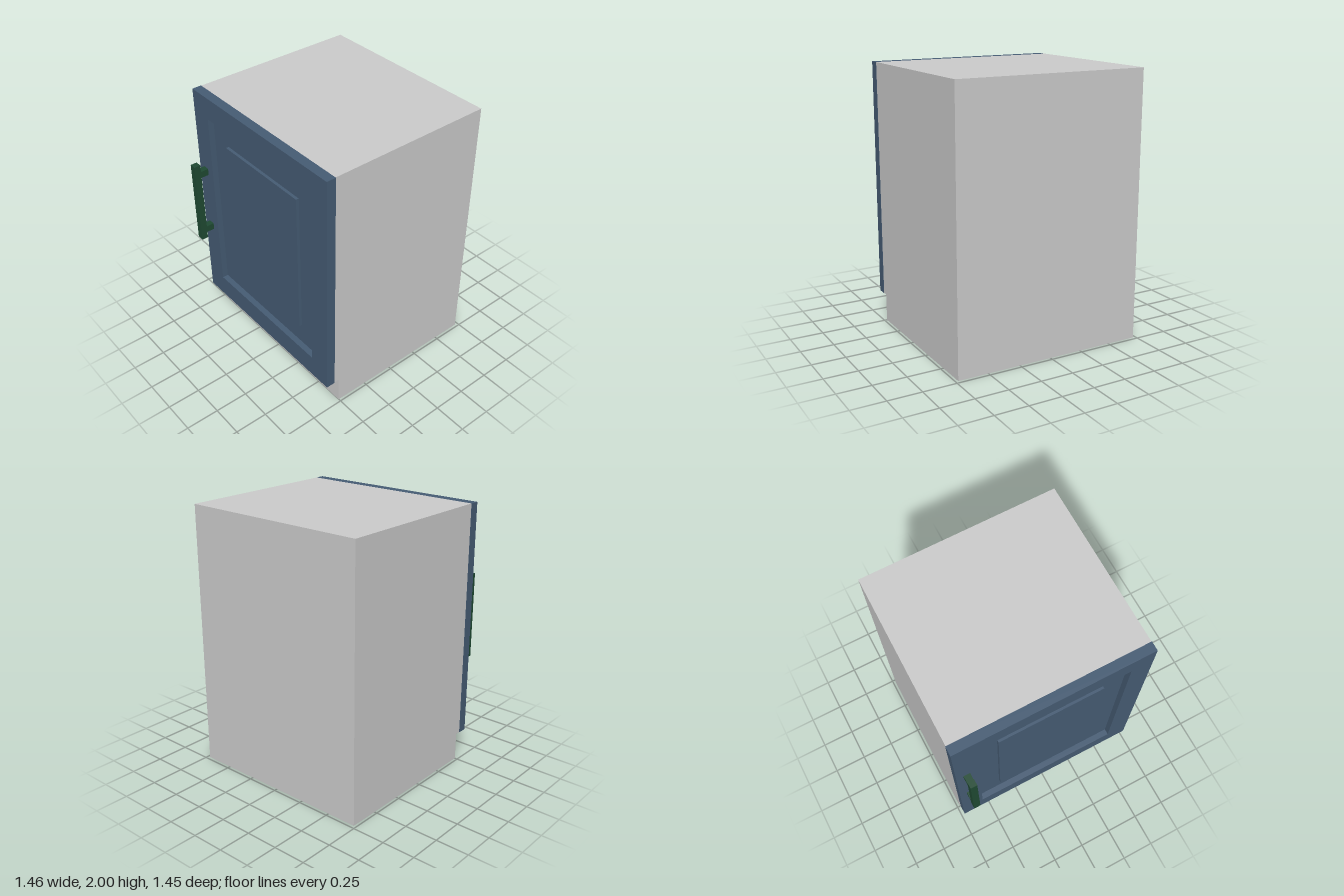
import * as THREE from 'three';

const grey = new THREE.MeshStandardMaterial({ color: 0xcccccc });
const blue = new THREE.MeshStandardMaterial({ color: 0x465c74 });
const green = new THREE.MeshStandardMaterial({ color: 0x1f4a33 });

// Box given by its minimum and maximum corners
function box(name, material, [x0, y0, z0], [x1, y1, z1]) {
  const mesh = new THREE.Mesh(new THREE.BoxGeometry(x1 - x0, y1 - y0, z1 - z0), material);
  mesh.position.set((x0 + x1) / 2, (y0 + y1) / 2, (z0 + z1) / 2);
  mesh.name = name;
  return mesh;
}

// Rectangle outline for a shape or a hole
function rect(Type, x, y0, y1) {
  return new Type([[-x, y0], [x, y0], [x, y1], [-x, y1]].map(p => new THREE.Vector2(...p)));
}

export function createModel() {
  const model = new THREE.Group();
  model.name = 'baseCabinet';
  const bodyX = 0.729, doorX = 0.732, back = -0.725, toe = 0.502, bodyFront = 0.543, doorFront = 0.614, kick = 0.21;

  // Carcass: side profile with a toe-kick notch, extruded across the width
  const profile = new THREE.Shape([[back, 0], [toe, 0], [toe, kick], [bodyFront, kick], [bodyFront, 2], [back, 2]]
    .map(p => new THREE.Vector2(...p)));
  const carcass = new THREE.Mesh(
    new THREE.ExtrudeGeometry(profile, { depth: 2 * bodyX, bevelEnabled: false })
      .translate(0, 0, -bodyX).rotateY(-Math.PI / 2), grey);
  // The rotation sends profile x to +z
  carcass.name = 'carcass';
  model.add(carcass);

  // Door: frame around a recessed field with a raised centre panel
  const door = new THREE.Group();
  door.name = 'door';
  const frameShape = rect(THREE.Shape, doorX, kick, 2);
  frameShape.holes.push(rect(THREE.Path, 0.565, 0.38, 1.83));
  const frame = new THREE.Mesh(
    new THREE.ExtrudeGeometry(frameShape, { depth: doorFront - bodyFront, bevelEnabled: false })
      .translate(0, 0, bodyFront), blue);
  frame.name = 'doorFrame';
  const field = doorFront - 0.045;
  door.add(frame,
    box('recessedField', blue, [-0.565, 0.38, bodyFront], [0.565, 1.83, field]),
    box('raisedPanel', blue, [-0.395, 0.55, field], [0.395, 1.67, field + 0.022]));
  model.add(door);

  // Bar handle on two posts
  const handle = new THREE.Group();
  handle.name = 'handle';
  handle.add(box('handleBar', green, [-0.678, 0.78, 0.675], [-0.628, 1.44, 0.725]));
  for (const y of [0.857, 1.357])
    handle.add(box('handlePost', green, [-0.678, y - 0.026, doorFront], [-0.628, y + 0.026, 0.675]));
  model.add(handle);

  return model;
}
